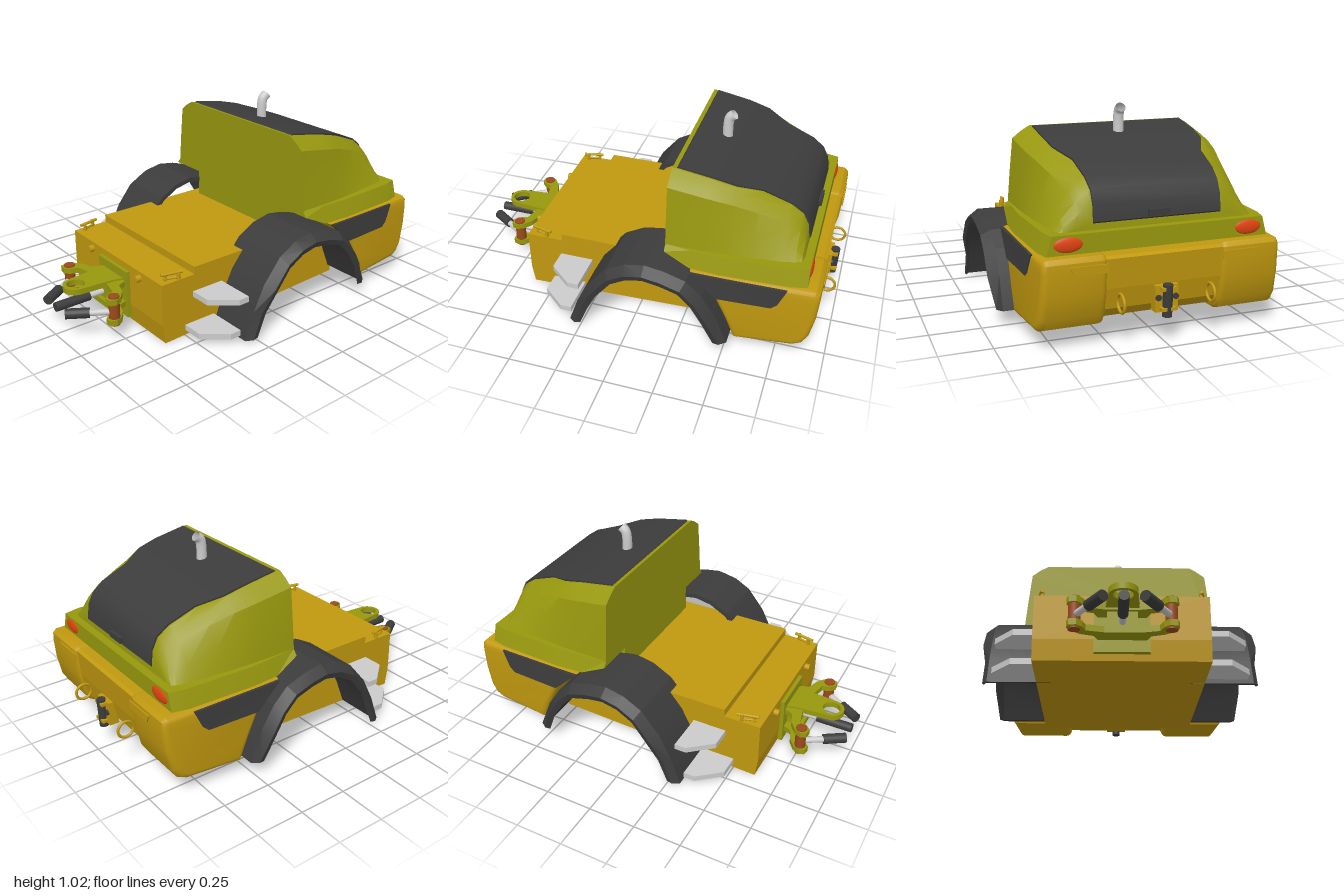
import * as THREE from 'three';
import { toCreasedNormals } from 'three/addons/utils/BufferGeometryUtils.js';

const mat = (color) => new THREE.MeshStandardMaterial({ color, side: THREE.DoubleSide });
const V = (x, y, z) => new THREE.Vector3(x, y, z);

export function createModel() {
  const model = new THREE.Group();
  const yellow = mat(0xc0980f), green = mat(0x98980f), dark = mat(0x3c3c3c);
  const grey = mat(0xcccccc), red = mat(0xe04410), brown = mat(0x9a4a1c);

  const add = (name, geo, material) => {
    const mesh = new THREE.Mesh(geo, material);
    mesh.name = name;
    model.add(mesh);
    return mesh;
  };
  const box = (name, m, x0, x1, y0, y1, z0, z1) => add(name,
    new THREE.BoxGeometry(x1 - x0, y1 - y0, Math.abs(z1 - z0))
      .translate((x0 + x1) / 2, (y0 + y1) / 2, (z0 + z1) / 2), m);
  const shapeOf = (pts) => new THREE.Shape(pts.map((p) => new THREE.Vector2(...p)));

  // Side profile (x, y) extruded across z
  const prism = (pts, z0, z1, bevel = 0) => {
    const lo = Math.min(z0, z1), depth = Math.abs(z1 - z0) - 2 * bevel;
    return new THREE.ExtrudeGeometry(shapeOf(pts), {
      depth, bevelEnabled: bevel > 0, bevelSize: bevel, bevelThickness: bevel,
      bevelOffset: -bevel, bevelSegments: 4, curveSegments: 20,
    }).translate(0, 0, lo + bevel);
  };
  // Plan outline (x, z) extruded upwards from y0 to y1
  const plate = (shape, y0, y1) => new THREE.ExtrudeGeometry(shape,
    { depth: y1 - y0, bevelEnabled: false, curveSegments: 20 }).rotateX(Math.PI / 2).translate(0, y1, 0);
  // Round bar between two points
  const rod = (name, a, b, r, m) => {
    const mesh = add(name, new THREE.CylinderGeometry(r, r, a.distanceTo(b), 20), m);
    mesh.position.copy(a).add(b).multiplyScalar(0.5);
    mesh.quaternion.setFromUnitVectors(V(0, 1, 0), b.clone().sub(a).normalize());
    return mesh;
  };
  // Closed cross-sections joined in a row, with fan caps; turned to face outwards
  const loft = (rings, crease) => {
    const n = rings[0].length, pos = rings.flat(), tris = [];
    for (let i = 0; i < rings.length - 1; i++) {
      for (let j = 0; j < n; j++) {
        const a = i * n + j, b = i * n + (j + 1) % n;
        tris.push([a, b, b + n], [a, b + n, a + n]);
      }
    }
    const end = (rings.length - 1) * n;
    for (let j = 1; j < n - 1; j++) tris.push([0, j + 1, j], [end, end + j, end + j + 1]);
    const volume = tris.reduce((s, [a, b, c]) => s + pos[a].dot(pos[b].clone().cross(pos[c])), 0);
    if (volume < 0) tris.forEach((t) => t.reverse());
    const geo = new THREE.BufferGeometry().setFromPoints(pos);
    geo.setIndex(tris.flat());
    return toCreasedNormals(geo, crease);
  };

  // Chassis with a lower step at its front end
  add('chassis', prism([[-0.62, 0], [0.52, 0.04], [0.52, 0.36], [-0.44, 0.36], [-0.44, 0.32],
    [-0.635, 0.32], [-0.635, 0.1]], -0.41, 0.41), yellow);

  // Hood: each section gives base, shoulder and top edge
  const hood = [
    [0.17, 0.53, 0.498, 0.845, 0.41, 0.905],
    [0.37, 0.53, 0.485, 0.81, 0.405, 0.87],
    [0.48, 0.527, 0.465, 0.785, 0.395, 0.842],
    [0.60, 0.52, 0.435, 0.745, 0.335, 0.80],
    [0.74, 0.51, 0.40, 0.69, 0.325, 0.745],
    [0.80, 0.505, 0.385, 0.65, 0.32, 0.70],
    [0.83, 0.50, 0.38, 0.60, 0.32, 0.64],
    [0.84, 0.495, 0.41, 0.54, 0.32, 0.56],
  ];
  add('hood', loft(hood.map(([x, wb, ws, ys, wt, yt]) => {
    const half = [[wb, 0.5], [wb * 0.55 + ws * 0.45, 0.5 + (ys - 0.5) * 0.5], [ws, ys],
      [ws * 0.5 + wt * 0.5, ys * 0.42 + yt * 0.58], [wt, yt]];
    return [...half.map(([z, y]) => V(x, y, z)), ...half.reverse().map(([z, y]) => V(x, y, -z))];
  }), 0.5), green);
  add('hoodPanel', loft(hood.map(([x, , , , w, y], i) => {
    const px = i === 0 ? 0.19 : x, py = i === 0 ? 0.901 : y, z = w - 0.008;
    return [V(px + 0.007, py + 0.007, z), V(px + 0.007, py + 0.007, -z),
      V(px - 0.02, py - 0.02, -z), V(px - 0.02, py - 0.02, z)];
  }), 0.5), dark);
  box('hoodLatch', dark, 0.83, 0.86, 0.575, 0.605, -0.052, 0.052);
  box('hoodBulkhead', green, 0.171, 0.5, 0.35, 0.52, -0.345, 0.345);

  // Hood skirt, flaring outwards to its lower edge
  const skirt = [[0.17, 0.5, 0.55], [0.3, 0.44, 0.565], [0.45, 0.44, 0.575], [0.8, 0.44, 0.56], [0.88, 0.44, 0.54]];
  add('hoodSkirt', loft(skirt.map(([x, y, w]) => [
    V(x, y, w), V(x, 0.53, w - 0.025), V(x, 0.53, 0.025 - w), V(x, y, -w)]), 0.3), green);

  // Exhaust pipe bent towards the rear
  add('exhaust', new THREE.TubeGeometry(new THREE.CatmullRomCurve3(
    [V(0.345, 0.84, 0), V(0.345, 0.95, 0), V(0.353, 0.985, 0), V(0.375, 1.003, 0)]), 20, 0.026, 20), grey);

  // Tail: two side pods and a recessed middle
  const taper = (geo) => {
    const p = geo.attributes.position;
    for (let i = 0; i < p.count; i++) {
      const z = p.getZ(i);
      if (Math.abs(z) < 0.4) continue;
      const back = Math.max(0, p.getX(i) - 0.5) * 0.1, up = Math.max(0, p.getY(i) - 0.2) * 0.06;
      p.setZ(i, z * (1 - back - up));
    }
    geo.computeVertexNormals();
    return toCreasedNormals(geo, 0.6);
  };
  const podProfile = [[0.31, 0.44], [0.44, 0.31], [0.5, 0.19], [0.545, 0.075], [0.84, 0.09], [0.885, 0.11],
    [0.915, 0.16], [0.938, 0.27], [0.947, 0.38], [0.945, 0.42], [0.925, 0.44]];
  add('tailMiddle', prism([[0.45, 0.43], [0.45, 0.17], [0.82, 0.125], [0.87, 0.135], [0.905, 0.18],
    [0.926, 0.28], [0.938, 0.42], [0.92, 0.43]], -0.285, 0.285), yellow);

  // Wheel arch outline (x, y)
  const arch = [[-0.315, 0.01], [-0.265, 0.15], [-0.2, 0.28], [-0.1, 0.4], [0, 0.455], [0.1, 0.475],
    [0.2, 0.46], [0.31, 0.425], [0.39, 0.35], [0.46, 0.24], [0.525, 0.08]];
  const plateSteps = [[-0.27, 0.41], [-0.27, 0.62], [-0.33, 0.62], [-0.45, 0.52], [-0.45, 0.41]];
  const earOutline = [[-0.65, 0], [-0.65, 0.11], [-0.7, 0.13], [-0.72, 0.19], [-0.755, 0.235], [-0.79, 0.25],
    [-0.82, 0.24], [-0.825, 0.205], [-0.8, 0.18], [-0.76, 0.165], [-0.74, 0.08], [-0.74, 0]];

  for (const s of [1, -1]) {
    // Tail pod with its dark side inset and top slot
    add('tailPod', taper(prism(podProfile, s * 0.275, s * 0.61, 0.03)), yellow);
    add('sideInset', taper(prism([[0.315, 0.437], [0.445, 0.315], [0.72, 0.315], [0.75, 0.34], [0.79, 0.43]],
      s * 0.55, s * 0.613)), dark);
    const slot = add('tailSlot', new THREE.ExtrudeGeometry(
      shapeOf([[0.28, 0.365], [0.435, 0.365], [0.455, 0.405], [0.28, 0.405]]),
      { depth: 0.006, bevelEnabled: false }).rotateY(s * Math.PI / 2), yellow);
    slot.position.x = s > 0 ? 0.946 : 0.952;
    if (s > 0) slot.scale.z = 1;

    // Tail light and tie-down ring
    const light = add('tailLight', new THREE.SphereGeometry(1, 28, 16), red);
    light.scale.set(0.014, 0.036, 0.07);
    light.position.set(0.876, 0.485, s * 0.44);
    const ring = add('tieDownRing', new THREE.TorusGeometry(0.042, 0.007, 10, 28), yellow);
    ring.position.set(0.95, 0.215, s * 0.22);

    // Wheel arch shell with an outer lip
    const dropAt = ([x, y], z, d) => {
      const to = V(0.1 - x, 0.06 - y, 0).normalize().multiplyScalar(d);
      return V(x + to.x, Math.max(0, y + to.y), s * z);
    };
    add('wheelArch', loft(arch.map((p) => [dropAt(p, 0.655, 0.025), dropAt(p, 0.34, 0.025), dropAt(p, 0.34, 0),
      dropAt(p, 0.65, 0), dropAt(p, p[1] < 0.2 ? 0.675 : 0.7, 0.035), dropAt(p, p[1] < 0.2 ? 0.67 : 0.69, 0.065)]),
    0.25), dark);

    // Access steps
    [[0.2, 0.23, 0], [0.03, 0.06, -0.05]].forEach(([y0, y1, dx]) => add('step',
      plate(shapeOf(plateSteps.map(([x, z]) => [x + dx, s * z])), y0, y1), grey));

    // Corner handle and front stud
    const zA = s * 0.4, zB = s * 0.375;
    rod('handleBar', V(-0.615, 0.355, zB), V(-0.505, 0.355, zA), 0.008, yellow);
    rod('handleRail', V(-0.6, 0.33, zB), V(-0.52, 0.33, zA), 0.006, yellow);
    rod('handleLeg', V(-0.59, 0.28, zB), V(-0.59, 0.36, zB), 0.009, yellow);
    rod('handleLeg', V(-0.53, 0.28, zA), V(-0.53, 0.36, zA), 0.009, yellow);
    rod('frontStud', V(-0.63, 0.285, s * 0.22), V(-0.662, 0.285, s * 0.22), 0.018, yellow);

    // Steering ears, pin and ram
    const ear = shapeOf(earOutline.map(([x, z]) => [x, s * z]));
    add('upperEar', plate(ear, 0.2, 0.23), green);
    add('lowerEar', plate(ear, 0.088, 0.118), green);
    rod('steeringPin', V(-0.785, 0.08, s * 0.215), V(-0.785, 0.237, s * 0.215), 0.028, brown);
    rod('ramRod', V(-0.785, 0.15, s * 0.215), V(-0.9, 0.15, s * 0.143), 0.016, grey);
    rod('ramBarrel', V(-0.885, 0.15, s * 0.152), V(-0.985, 0.15, s * 0.088), 0.026, dark);
  }

  // Articulation hitch: mounting block, tongue with eye, and shaft
  box('hitchPlate', green, -0.655, -0.63, 0.03, 0.285, -0.13, 0.13);
  box('hitchBlock', green, -0.72, -0.64, 0.09, 0.24, -0.07, 0.07);
  const tongue = new THREE.Shape();
  tongue.moveTo(-0.65, -0.095);
  tongue.lineTo(-0.7, -0.08);
  tongue.lineTo(-0.87, -0.065);
  tongue.absarc(-0.87, 0, 0.065, -Math.PI / 2, Math.PI / 2, true);
  tongue.lineTo(-0.7, 0.08);
  tongue.lineTo(-0.65, 0.095);
  tongue.holes.push(new THREE.Path().absarc(-0.87, 0, 0.046, 0, Math.PI * 2, false));
  add('hitchTongue', plate(tongue, 0.21, 0.24), green);
  rod('hitchShaft', V(-0.99, 0.15, 0), V(-0.8, 0.15, 0), 0.024, dark);
  rod('hitchShaftRod', V(-0.81, 0.15, 0), V(-0.7, 0.15, 0), 0.016, grey);

  // Rear tow coupling
  box('towPlate', yellow, 0.9, 0.95, 0.15, 0.275, -0.056, 0.056);
  for (const y of [0.16, 0.255]) box('towLug', yellow, 0.93, 0.978, y, y + 0.016, -0.035, 0.035);
  rod('towPin', V(0.955, 0.13, 0), V(0.962, 0.282, 0), 0.023, dark);
  for (const z of [0.042, -0.042]) rod('towBolt', V(0.945, 0.22, z), V(0.958, 0.22, z), 0.014, dark);

  return model;
}
